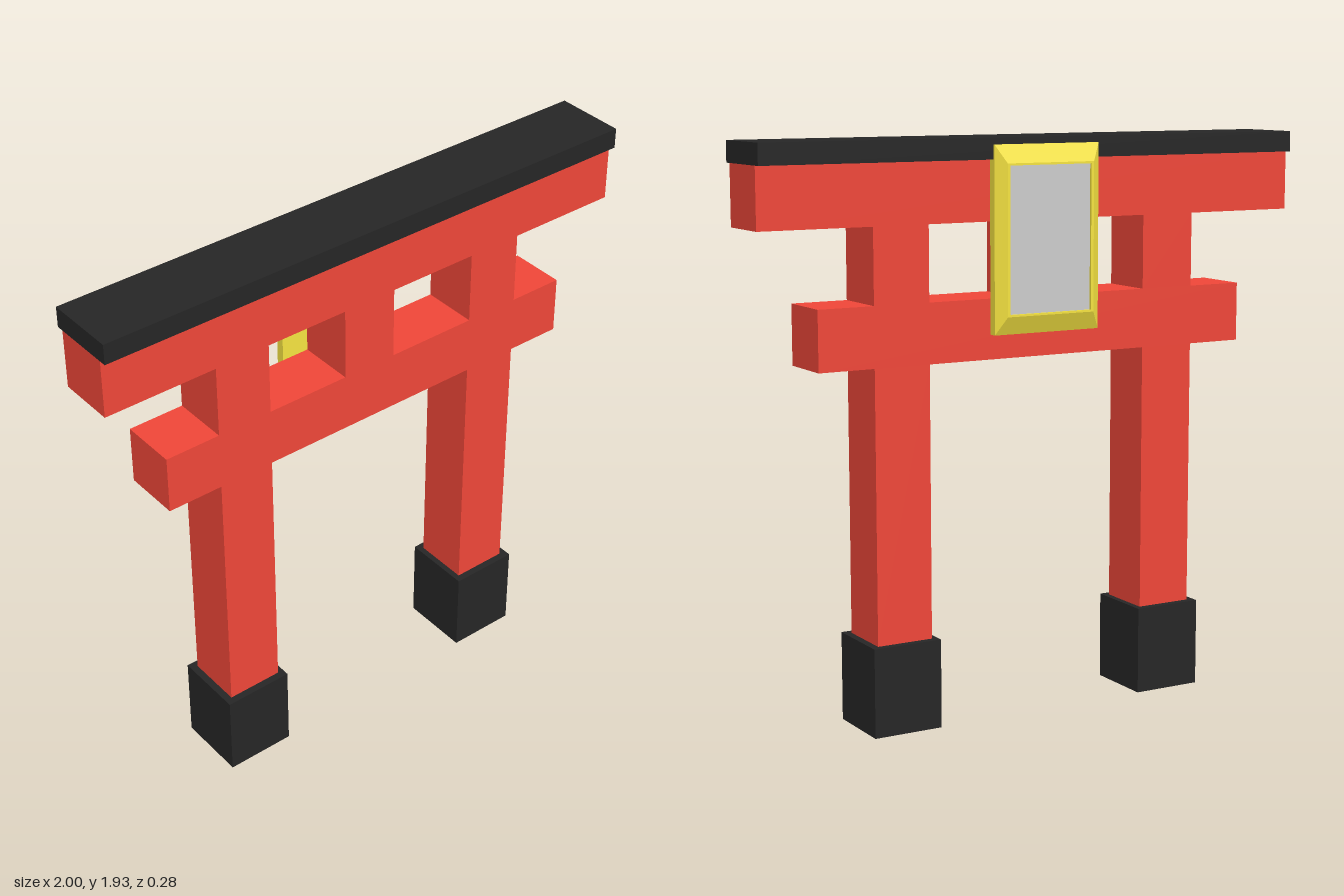
import * as THREE from 'three';

const material = (color) => new THREE.MeshStandardMaterial({ color, flatShading: true });

// Box given by its limits on each axis
function block(name, mat, [x0, x1], [y0, y1], [z0, z1]) {
  const mesh = new THREE.Mesh(new THREE.BoxGeometry(x1 - x0, y1 - y0, z1 - z0), mat);
  mesh.position.set((x0 + x1) / 2, (y0 + y1) / 2, (z0 + z1) / 2);
  mesh.name = name;
  return mesh;
}

// Skin joining rectangles [halfWidth, halfHeight, z], listed from front to back
function rectangularLoft(rings) {
  const corners = [[1, 1], [-1, 1], [-1, -1], [1, -1]];
  const point = ([w, h, z], k) => [corners[k % 4][0] * w, corners[k % 4][1] * h, z];
  const positions = [];
  for (let i = 0; i < rings.length - 1; i++) {
    for (let k = 0; k < 4; k++) {
      const a = point(rings[i], k), b = point(rings[i], k + 1);
      const c = point(rings[i + 1], k), d = point(rings[i + 1], k + 1);
      positions.push(...a, ...d, ...b, ...a, ...c, ...d);
    }
  }
  const geometry = new THREE.BufferGeometry();
  geometry.setAttribute('position', new THREE.Float32BufferAttribute(positions, 3));
  geometry.computeVertexNormals();
  return geometry;
}

export function createModel() {
  const gate = new THREE.Group();
  gate.name = 'gate';
  const red = material(0xee4638);
  const black = material(0x262626);
  const yellow = material(0xf4e240);
  const grey = material(0xcccccc);
  const timberZ = [-0.083, 0.115];
  const capZ = [-0.107, 0.14];

  // Pillars on black footings
  for (const [side, s] of [['left', 1], ['right', -1]]) {
    const span = (a, b) => [s * a, s * b].sort((p, q) => p - q);
    gate.add(block(side + 'Footing', black, span(0.387, 0.63), [0, 0.3], capZ));
    gate.add(block(side + 'LowerPillar', red, span(0.408, 0.605), [0.3, 1.21], timberZ));
    gate.add(block(side + 'UpperPillar', red, span(0.408, 0.605), [1.41, 1.66], timberZ));
  }

  // Crossbeams, middle strut and roof
  gate.add(block('lowerBeam', red, [-0.8, 0.8], [1.21, 1.41], timberZ));
  gate.add(block('middleStrut', red, [-0.112, 0.085], [1.41, 1.66], timberZ));
  gate.add(block('upperBeam', red, [-1, 1], [1.66, 1.86], timberZ));
  gate.add(block('roof', black, [-1, 1], [1.86, 1.93], capZ));

  // Plaque on the back: bevelled frame around a slightly recessed panel
  const plaque = new THREE.Group();
  plaque.name = 'plaque';
  plaque.position.set(-0.0125, 1.6, 0);
  const frame = new THREE.Mesh(rectangularLoft([
    [0.197, 0.308, -0.084],
    [0.197, 0.308, -0.113],
    [0.163, 0.248, -0.14],
    [0.153, 0.241, -0.14],
    [0.153, 0.241, -0.132],
  ]), yellow);
  frame.name = 'plaqueFrame';
  const backing = new THREE.Mesh(new THREE.PlaneGeometry(0.394, 0.616), yellow);
  backing.position.z = -0.084;
  backing.name = 'plaqueBacking';
  const panel = new THREE.Mesh(new THREE.PlaneGeometry(0.306, 0.482), grey);
  panel.rotation.y = Math.PI;
  panel.position.z = -0.132;
  panel.name = 'plaquePanel';
  plaque.add(frame, backing, panel);
  gate.add(plaque);

  return gate;
}
